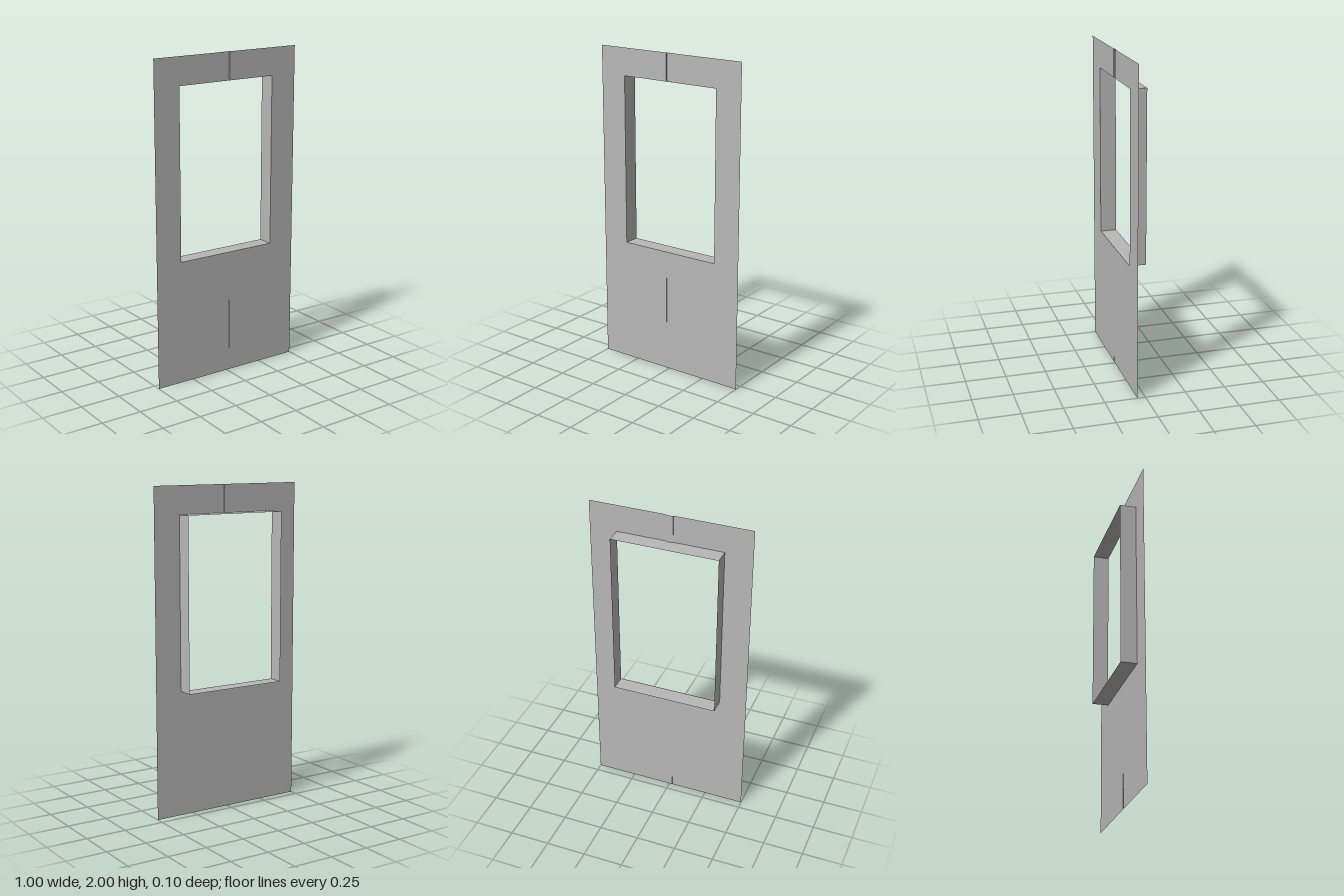
import * as THREE from 'three';

const FRONT = 0.05, BACK = -0.05;           // panel plane and rear rim of the lining
const HALF_W = 0.5, HEIGHT = 2;
const WIN_X = 0.33, WIN_LOW = 0.775, WIN_HIGH = 1.83;
const SLOT = 0.02;                          // half width of the centre groove

export function createModel() {
  const group = new THREE.Group();
  group.name = 'windowPanel';
  const grey = new THREE.MeshStandardMaterial({ color: 0xb8b8b8, side: THREE.DoubleSide });
  grey.name = 'plain grey';

  const plane = (name, w, h, position, rotation = [0, 0, 0], parent = group) => {
    const mesh = new THREE.Mesh(new THREE.PlaneGeometry(w, h), grey);
    mesh.name = name;
    mesh.position.set(...position);
    mesh.rotation.set(...rotation);
    parent.add(mesh);
  };

  // Two C-shaped halves of the flat panel, divided by the centre groove
  for (const side of [1, -1]) {
    const outline = [
      [SLOT, 0], [HALF_W, 0], [HALF_W, HEIGHT], [SLOT, HEIGHT],
      [SLOT, WIN_HIGH], [WIN_X, WIN_HIGH], [WIN_X, WIN_LOW], [SLOT, WIN_LOW],
    ].map(([x, y]) => new THREE.Vector2(x * side, y));
    const half = new THREE.Mesh(new THREE.ShapeGeometry(new THREE.Shape(outline)), grey);
    half.name = side > 0 ? 'leftPanel' : 'rightPanel';
    half.position.z = FRONT;
    group.add(half);
  }

  // Thin lining around the window opening
  const lining = new THREE.Group();
  lining.name = 'windowLining';
  group.add(lining);
  const depth = FRONT - BACK, winH = WIN_HIGH - WIN_LOW, midY = (WIN_HIGH + WIN_LOW) / 2;
  for (const side of [1, -1]) {
    plane('liningSide', depth, winH, [side * WIN_X, midY, 0], [0, side * Math.PI / 2, 0], lining);
    plane('liningEdge', 2 * WIN_X, depth, [0, midY + side * winH / 2, 0], [-side * Math.PI / 2, 0, 0], lining);
  }

  // Shallow grooves above and below the window: a floor and two walls each
  const groove = (name, low, high, d) => {
    const part = new THREE.Group();
    part.name = name;
    group.add(part);
    const y = (low + high) / 2, h = high - low;
    plane('grooveFloor', 2 * SLOT, h, [0, y, FRONT - d], [0, 0, 0], part);
    for (const side of [1, -1]) {
      plane('grooveWall', d, h, [side * SLOT, y, FRONT - d / 2], [0, -side * Math.PI / 2, 0], part);
    }
  };
  groove('upperGroove', WIN_HIGH, HEIGHT, 0.006);
  groove('lowerGroove', 0, WIN_LOW, 0.001);

  return group;
}
